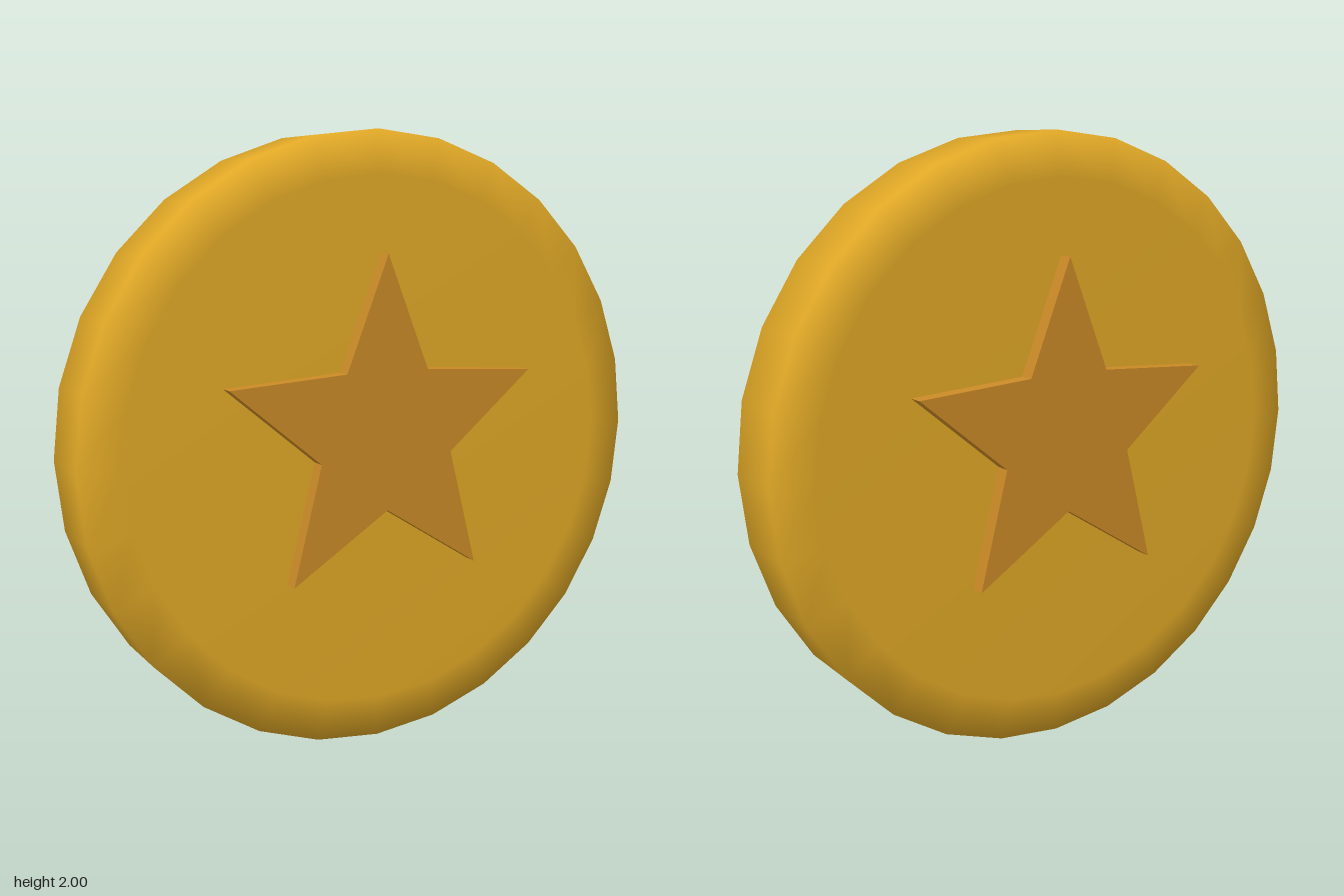
import * as THREE from 'three';

export function createModel() {
  const model = new THREE.Group();
  model.name = 'coin';

  const gold = new THREE.MeshStandardMaterial({ color: 0xe0a826 });
  gold.name = 'gold';
  const bronze = new THREE.MeshStandardMaterial({ color: 0xca8a26 });
  bronze.name = 'bronze';

  // Disc: smooth 28-sided lathe with a slightly tapered rim
  const profile = [
    [0, -0.133], [0.86, -0.133], [1, -0.115],
    [1, 0.115], [0.86, 0.133], [0, 0.133],
  ].map(([r, y]) => new THREE.Vector2(r, y));
  const disc = new THREE.Mesh(new THREE.LatheGeometry(profile, 28), gold);
  disc.name = 'disc';
  disc.rotation.x = Math.PI / 2;
  disc.position.y = 1;
  model.add(disc);

  // Star: one prism through the disc, raised on both faces
  const points = [];
  for (let i = 0; i < 10; i++) {
    const r = i % 2 ? 0.25 : 0.573;
    const a = Math.PI / 2 + (i * Math.PI) / 5;
    points.push(new THREE.Vector2(r * Math.cos(a), r * Math.sin(a)));
  }
  const depth = 0.366;
  const starGeometry = new THREE.ExtrudeGeometry(new THREE.Shape(points), { depth, bevelEnabled: false });
  starGeometry.translate(0, 0, -depth / 2);
  const star = new THREE.Mesh(starGeometry, bronze);
  star.name = 'star';
  star.position.y = 1.043;
  model.add(star);

  return model;
}
